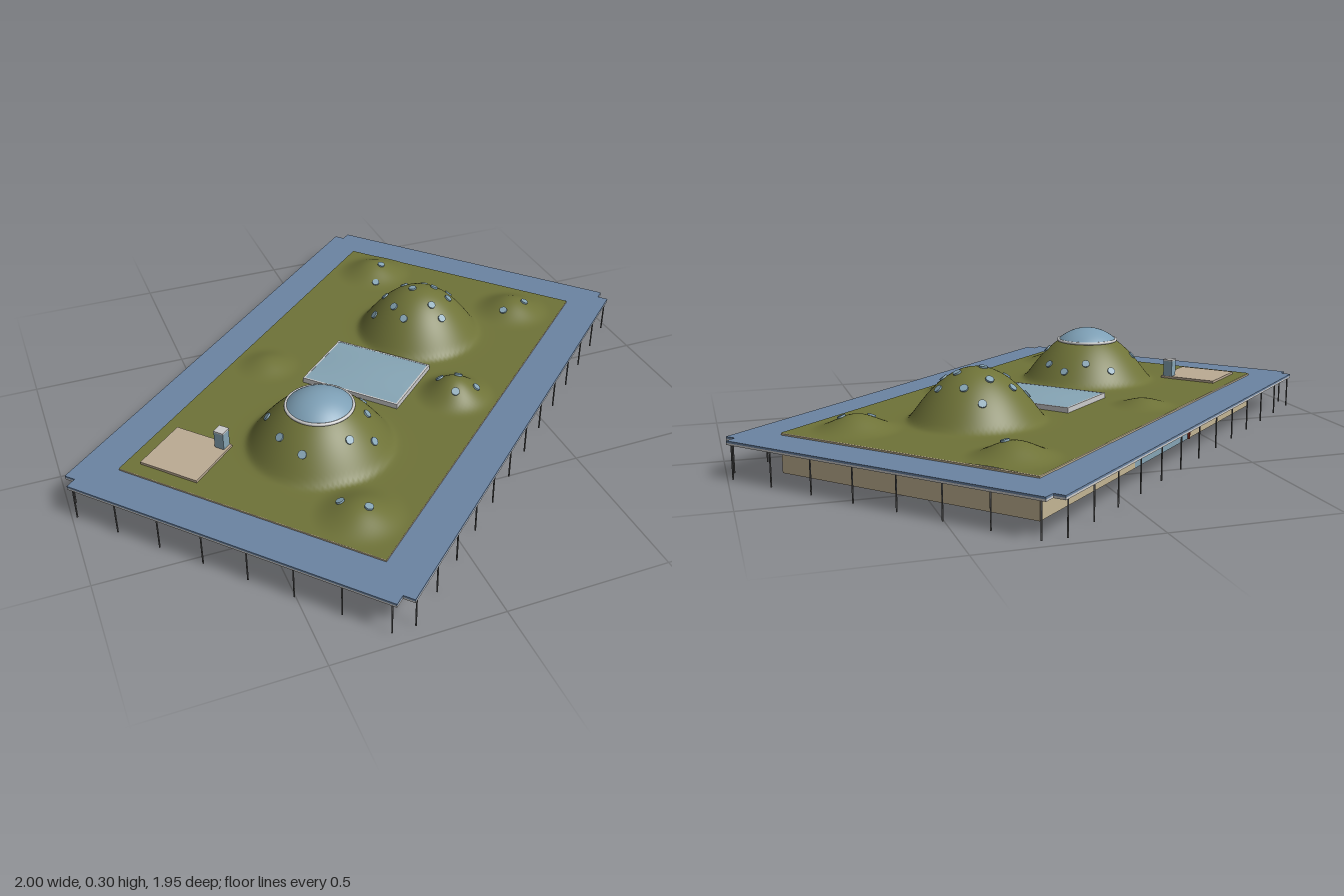
import * as THREE from 'three';

const mat = (color, side = THREE.FrontSide) => new THREE.MeshStandardMaterial({ color, side });
const M = {
  wall: mat(0xc4b594), glass: mat(0x86a5b5), grass: mat(0x6f7338, THREE.DoubleSide),
  panel: mat(0x6b84a3), grey: mat(0xcccccc), white: mat(0xeeeeee), deck: mat(0xbcab94),
  post: mat(0x555555), red: mat(0x9a3a2a), dome: mat(0x7d9fb5, THREE.DoubleSide),
};

const HL = 0.749, HW = 0.43, ROOF = 0.12;   // building half length, half width, roof level
const ANGLE = 0.731;                        // the plan sits diagonally on the site

// Hills in plan: [u, v, radius, height]; steep ones are domes, the rest soft mounds
const DOMES = [[-0.38, 0.035, 0.22, 0.17], [0.334, 0.031, 0.205, 0.162]];
const MOUNDS = [
  [0.602, 0.272, 0.14, 0.043], [0.629, -0.282, 0.14, 0.043], [-0.62, 0.288, 0.14, 0.038],
  [0.03, 0.296, 0.13, 0.062], [-0.09, -0.32, 0.11, 0.022],
];

function height(u, v) {
  let h = 0;
  for (const [a, b, r, top] of DOMES) {
    const f = 1 - ((u - a) ** 2 + (v - b) ** 2) / (r * r);
    h += top * (f + Math.sqrt(f * f + 0.008)) / 2;
  }
  for (const [a, b, r, top] of MOUNDS) {
    const q = Math.hypot(u - a, v - b) / r;
    if (q < 1) h += top * (0.5 + 0.5 * Math.cos(Math.PI * q));
  }
  return ROOF + h;
}

function add(parent, name, geometry, material, x = 0, y = 0, z = 0) {
  const mesh = new THREE.Mesh(geometry, material);
  mesh.name = name;
  mesh.position.set(x, y, z);
  parent.add(mesh);
  return mesh;
}
const box = (parent, name, material, w, h, d, x, y, z) =>
  add(parent, name, new THREE.BoxGeometry(w, h, d), material, x, y, z);

export function createModel() {
  const model = new THREE.Group();
  model.name = 'greenRoofBuilding';
  const site = new THREE.Group();
  site.name = 'building';
  site.rotation.y = ANGLE;
  model.add(site);

  // Hollow walls, with a wide window in the middle of each long side
  const t = 0.008, wh = 0.118;
  for (const s of [-1, 1]) {
    box(site, 'endWall', M.wall, t, wh, 2 * HW, s * (HL - t / 2), wh / 2, 0);
    for (const e of [-1, 1])
      box(site, 'longWall', M.wall, HL - 0.196, wh, t, e * (HL + 0.196) / 2, wh / 2, s * (HW - t / 2));
    box(site, 'longWindow', M.glass, 0.392, 0.1, t, 0, 0.05, s * (HW - t / 2));
    box(site, 'windowLintel', M.wall, 0.392, 0.018, t, 0, 0.109, s * (HW - t / 2));
  }
  box(site, 'downpipe', M.red, 0.008, 0.1, 0.006, -0.2, 0.05, -HW - 0.003);

  // Canopy strips: a grey slab under a blue panel, notched at the corners
  const canopy = (w, d, x, z) => {
    box(site, 'canopySlab', M.grey, w, 0.006, d, x, 0.104, z);
    box(site, 'canopyPanel', M.panel, w, 0.006, d, x, 0.11, z);
  };
  for (const s of [-1, 1]) {
    canopy(1.68, 0.555 - HW, 0, s * (0.555 + HW) / 2);
    canopy(0.875 - HL, 2 * HW, s * (0.875 + HL) / 2, 0);
    for (const e of [-1, 1]) canopy(0.035, 0.52 - HW, s * 0.8575, e * (0.52 + HW) / 2);
  }

  // Slender posts along the canopy edges
  const postGeo = new THREE.CylinderGeometry(0.0025, 0.0025, 0.102, 6);
  const post = (x, z) => add(site, 'post', postGeo, M.post, x, 0.051, z);
  for (const s of [-1, 1]) {
    for (let i = 0; i < 13; i++) post(-0.82 + i * 1.64 / 12, s * 0.55);
    for (let i = 0; i < 8; i++) post(s * 0.87, -0.505 + i * 1.01 / 7);
  }

  // Rolling grass roof
  const roof = new THREE.PlaneGeometry(2 * HL, 2 * HW, 140, 80).rotateX(-Math.PI / 2);
  const p = roof.attributes.position;
  for (let i = 0; i < p.count; i++) p.setY(i, height(p.getX(i), p.getZ(i)));
  roof.computeVertexNormals();
  add(site, 'grassRoof', roof, M.grass);

  // Glazed cap with a white ring on the taller dome
  const [cu, cv] = DOMES[0], capR = 0.1, rise = 0.04;
  const R = (capR * capR + rise * rise) / (2 * rise);
  const cap = new THREE.SphereGeometry(R, 40, 10, 0, Math.PI * 2, 0, Math.asin(capR / R));
  add(site, 'domeGlass', cap, M.dome, cu, 0.3 - R, cv);
  const ring = new THREE.TorusGeometry(capR, 0.005, 8, 48).rotateX(Math.PI / 2);
  add(site, 'domeRing', ring, M.white, cu, 0.259, cv);

  // Central rooflight: white frame and gently bulging glass
  const a = 0.125, b = 0.167, f = 0.006;
  for (const s of [-1, 1]) {
    box(site, 'rooflightFrame', M.white, 2 * a, 0.022, f, 0, 0.126, s * (b - f / 2));
    box(site, 'rooflightFrame', M.white, f, 0.022, 2 * b, s * (a - f / 2), 0.126, 0);
  }
  const pane = new THREE.PlaneGeometry(2 * (a - f), 2 * (b - f), 12, 12).rotateX(-Math.PI / 2);
  const q = pane.attributes.position;
  for (let i = 0; i < q.count; i++)
    q.setY(i, 0.136 + 0.007 * (1 - (q.getX(i) / a) ** 2) * (1 - (q.getZ(i) / b) ** 2));
  pane.computeVertexNormals();
  add(site, 'rooflightGlass', pane, M.glass);

  // Terrace with a small lift tower
  box(site, 'terrace', M.deck, 0.19, 0.014, 0.195, -0.61, 0.121, -0.288);
  box(site, 'liftTower', M.glass, 0.032, 0.06, 0.032, -0.532, 0.152, -0.214);
  box(site, 'liftRoof', M.white, 0.034, 0.005, 0.034, -0.532, 0.184, -0.214);

  // Small round rooflights lying on the slopes, placed in site x, z
  const discGeo = new THREE.CylinderGeometry(0.013, 0.013, 0.008, 12);
  const c = Math.cos(ANGLE), s = Math.sin(ANGLE), up = new THREE.Vector3(0, 1, 0), e = 0.004;
  const spots = [
    [-0.28, 0.1], [-0.2, 0.13], [-0.13, 0.15], [-0.1, 0.22], [-0.13, 0.33], [-0.14, 0.41],
    [-0.22, 0.42], [-0.36, 0.41], [-0.4, 0.33], [-0.4, 0.21],
    [0.29, -0.345], [0.18, -0.28], [0.25, -0.28], [0.33, -0.29], [0.12, -0.23], [0.17, -0.18],
    [0.25, -0.21], [0.33, -0.21], [0.39, -0.22], [0.18, -0.12], [0.28, -0.12], [0.36, -0.16], [0.3, -0.08],
    [0.25, -0.54], [0.3, -0.61], [0.58, -0.165], [0.67, -0.18],
    [0.19, 0.15], [0.24, 0.18], [0.2, 0.245], [0.28, 0.23], [-0.31, 0.58], [-0.25, 0.645],
  ];
  for (const [x, z] of spots) {
    const u = x * c - z * s, v = x * s + z * c;
    const n = new THREE.Vector3(
      height(u - e, v) - height(u + e, v), 2 * e, height(u, v - e) - height(u, v + e)).normalize();
    add(site, 'roundRooflight', discGeo, M.glass, u, height(u, v) + 0.001, v).quaternion.setFromUnitVectors(up, n);
  }
  return model;
}
